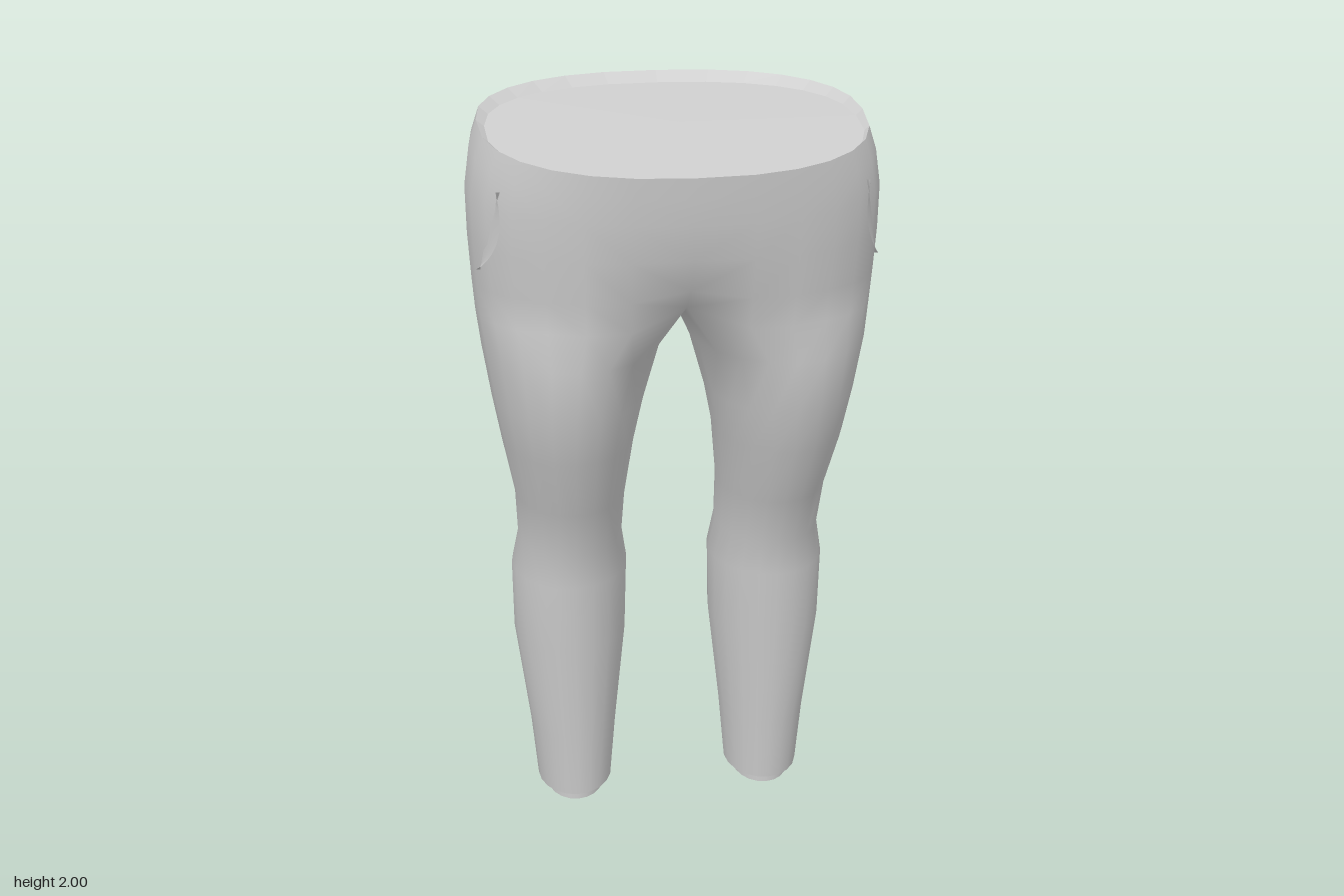
import * as THREE from 'three';
import { mergeVertices } from 'three/addons/utils/BufferGeometryUtils.js';

const OUT = 14, RING = 20; // segments of the outer arc and of a full leg ring
const HIP_POWER = 2.4;

// Leg cross-sections: y, inner x, outer x, front z, back z
const LEG = [
  [0.03, 0.17, 0.38, 0.03, -0.23],
  [0.22, 0.153, 0.395, 0.045, -0.25],
  [0.52, 0.12, 0.43, 0.072, -0.295],
  [0.72, 0.115, 0.43, 0.09, -0.295],
  [0.82, 0.13, 0.41, 0.10, -0.267],
  [0.96, 0.125, 0.415, 0.15, -0.235],
  [1.13, 0.105, 0.445, 0.225, -0.23],
  [1.25, 0.08, 0.465, 0.255, -0.235],
  [1.39, 0.04, 0.485, 0.285, -0.255],
];
// Hip cross-sections: front y, backward rise, half width, front z, back z, cleft
const HIPS = [
  [1.48, 0, 0.495, 0.305, -0.275, 0.28],
  [1.56, 0, 0.5, 0.315, -0.29, 0.12],
  [1.66, 0.03, 0.505, 0.33, -0.335, 0.02],
  [1.75, 0.1, 0.505, 0.34, -0.352, 0],
  [1.81, 0.2, 0.49, 0.348, -0.318, 0],
  [1.86, 0.22, 0.47, 0.353, -0.28, 0],
];

const spow = (v, p) => Math.sign(v) * Math.abs(v) ** p;

function legPoint([y, xi, xo, zf, zb], i) {
  const a = ((i - 2) / RING) * Math.PI * 2;
  return [(xi + xo) / 2 + ((xo - xi) / 2) * Math.sin(a), y,
    (zf + zb) / 2 + ((zf - zb) / 2) * Math.cos(a)];
}

function hipPoint([y, rise, w, zf, zb, cleft], i) {
  const a = (i / OUT) * Math.PI, c = Math.cos(a);
  const x = i === OUT ? 0 : w * spow(Math.sin(a), 2 / HIP_POWER);
  let z = (c > 0 ? zf : -zb) * spow(c, 2 / HIP_POWER);
  const near = Math.max(0, 1 - x / 0.22) ** 2; // closeness to the centre seam
  z *= 1 - cleft * near;
  return [x, y + rise * (zf - z) + cleft * 0.15 * near, z];
}

// Crotch ring: hip arc outside, a curve on the centre plane inside
function crotchPoint(i) {
  if (i <= OUT) return hipPoint(HIPS[0], i);
  const t = (i - OUT) / (RING - OUT);
  const back = hipPoint(HIPS[0], OUT), front = hipPoint(HIPS[0], 0);
  return [0, back[1] - 0.045 * Math.sin(Math.PI * t), back[2] + (front[2] - back[2]) * t];
}

function meshGeometry(pos, idx) {
  const g = new THREE.BufferGeometry();
  g.setAttribute('position', new THREE.Float32BufferAttribute(pos, 3));
  g.setIndex(idx);
  return g;
}

// Both halves of the trousers as one smooth skin
function trousersGeometry() {
  const pos = [], idx = [];
  for (const side of [1, -1]) {
    const strip = (lower, upper, count) => {
      const s = pos.length / 3;
      for (let i = 0; i <= count; i++) {
        for (const p of [lower(i), upper(i)]) pos.push(p[0] * side, p[1], p[2]);
      }
      for (let i = 0; i < count; i++) {
        const a = s + 2 * i, b = a + 2, c = a + 3, d = a + 1;
        if (side > 0) idx.push(a, b, c, a, c, d);
        else idx.push(a, c, b, a, d, c);
      }
    };
    LEG.forEach((row, j) => {
      const next = LEG[j + 1];
      strip((i) => legPoint(row, i % RING),
        (i) => (next ? legPoint(next, i % RING) : crotchPoint(i % RING)), RING);
    });
    for (let j = 0; j < HIPS.length - 1; j++) {
      strip((i) => hipPoint(HIPS[j], i), (i) => hipPoint(HIPS[j + 1], i), OUT);
    }
  }
  const g = mergeVertices(meshGeometry(pos, idx), 1e-4);
  g.computeVertexNormals();
  return g;
}

// Waist closing: a narrow sloping rim around a flat, slightly sunken face
function waistGeometry() {
  const top = HIPS[HIPS.length - 1], ring = [], pos = [], idx = [];
  for (let i = 0; i < OUT; i++) ring.push(hipPoint(top, i));
  for (let i = OUT; i > 0; i--) {
    const p = hipPoint(top, i);
    ring.push([-p[0], p[1], p[2]]);
  }
  const n = ring.length;
  for (const [x, y, z] of ring) {
    const k = 0.07 * (0.353 - z) / 0.633; // rim widens toward the back
    const zi = z + (0.353 - z) * k * 0.6;
    pos.push(x, y, z, x * (1 - k), y - 0.22 * (zi - z) - 0.3 * k, zi);
  }
  pos.push(0, 1.927, 0.04);
  for (let i = 0; i < n; i++) {
    const a = 2 * i, b = 2 * ((i + 1) % n);
    idx.push(a, b, b + 1, a, b + 1, a + 1, a + 1, b + 1, 2 * n);
  }
  const g = meshGeometry(pos, idx).toNonIndexed();
  g.computeVertexNormals();
  return g;
}

// Pocket opening: curved front lip to straight back edge, following the hip
function pocketGeometry(side) {
  const pos = [], idx = [], rows = 8, cols = 3;
  const lip = new THREE.QuadraticBezierCurve(new THREE.Vector2(0.205, 1.81),
    new THREE.Vector2(0.235, 1.66), new THREE.Vector2(0.125, 1.61));
  for (let j = 0; j <= rows; j++) {
    const f = lip.getPoint(j / rows);
    const backZ = 0.205 - 0.08 * (1.81 - f.y) / 0.2;
    for (let i = 0; i <= cols; i++) {
      const t = i / cols, z = f.x + (backZ - f.x) * t;
      const x = 0.503 * (1 - (z / 0.335) ** HIP_POWER) ** (1 / HIP_POWER);
      pos.push(side * (x + 0.008 - 0.01 * t), f.y, z);
      if (i < cols && j < rows) {
        const a = j * (cols + 1) + i, d = a + cols + 1;
        if (side > 0) idx.push(a, d, d + 1, a, d + 1, a + 1);
        else idx.push(a, d + 1, d, a, a + 1, d + 1);
      }
    }
  }
  const g = meshGeometry(pos, idx);
  g.computeVertexNormals();
  return g;
}

export function createModel() {
  const group = new THREE.Group();
  group.name = 'trousers';
  const grey = new THREE.MeshStandardMaterial({ color: 0xcccccc });
  const thin = new THREE.MeshStandardMaterial({ color: 0xcccccc, side: THREE.DoubleSide });
  const add = (name, geometry, material = grey) => {
    const m = new THREE.Mesh(geometry, material);
    m.name = name;
    group.add(m);
    return m;
  };

  add('hipsAndLegs', trousersGeometry(), thin);
  add('waistFace', waistGeometry(), thin);

  for (const [side, label] of [[1, 'left'], [-1, 'right']]) {
    add(label + 'Pocket', pocketGeometry(side), thin);

    // Hem underside
    const hem = add(label + 'Hem', new THREE.CircleGeometry(1, RING).rotateX(Math.PI / 2));
    hem.scale.set(0.105, 1, 0.13);
    hem.position.set(side * 0.275, 0.03, -0.1);

    // Ankle stub
    const ankle = add(label + 'Ankle', new THREE.CylinderGeometry(1, 1, 0.03, RING));
    ankle.scale.set(0.08, 1, 0.105);
    ankle.position.set(side * 0.275, 0.015, -0.095);
  }
  return group;
}
